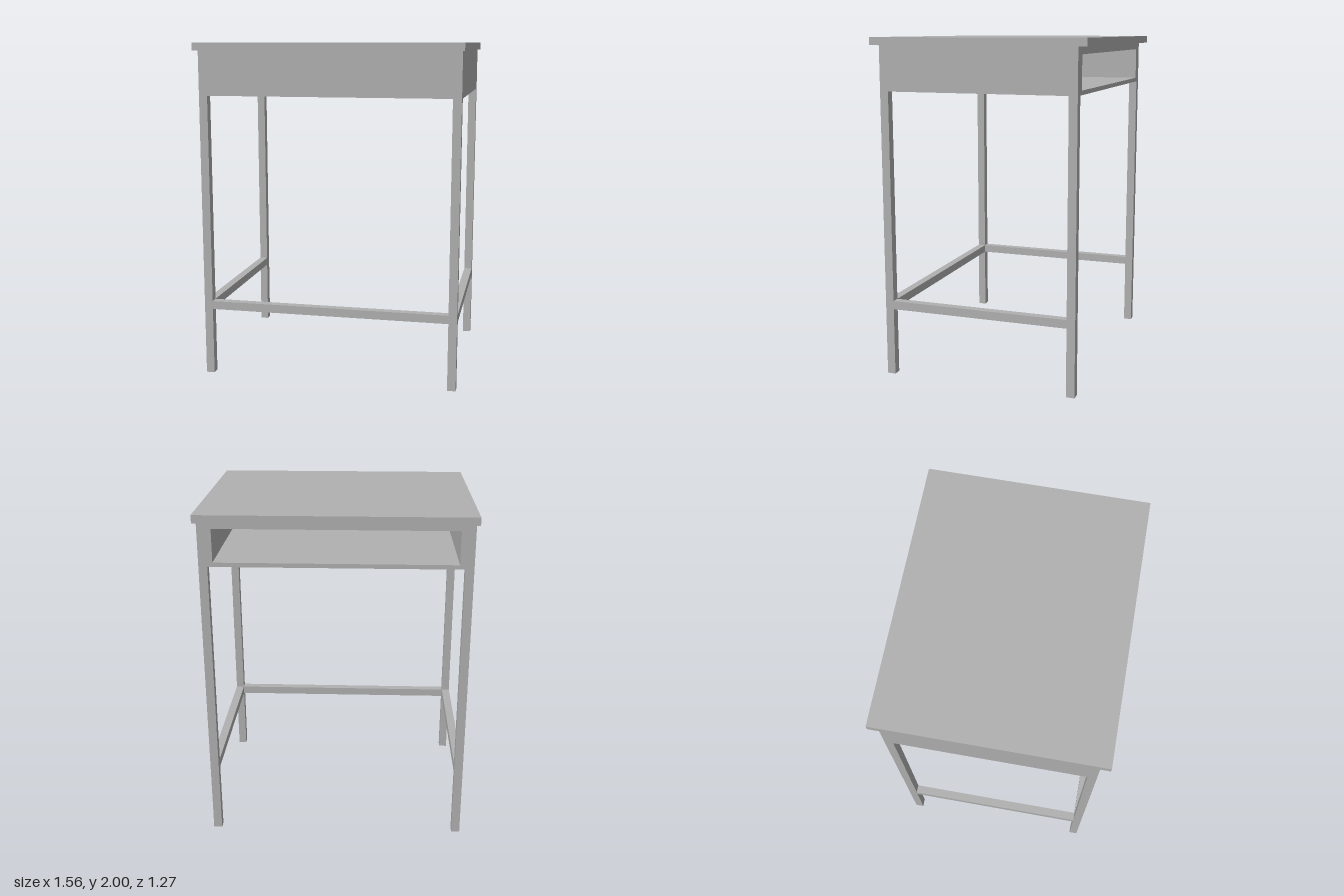
import * as THREE from 'three';

export function createModel() {
  const desk = new THREE.Group();
  desk.name = 'desk';
  const grey = new THREE.MeshStandardMaterial({ color: 0xb0b0b0 });
  grey.name = 'grey';

  const add = (name, geometry, x, y, z) => {
    const mesh = new THREE.Mesh(geometry, grey);
    mesh.name = name;
    mesh.position.set(x, y, z);
    desk.add(mesh);
  };
  const box = (name, w, h, d, x, y, z) => add(name, new THREE.BoxGeometry(w, h, d), x, y, z);

  const W = 0.765, D = 0.585;      // half width and half depth of the frame
  const bar = 0.05;                // square bar size
  const low = 1.695, high = 1.955; // bottom and top of the storage case

  // Overhanging top
  box('tabletop', 1.56, 2 - high, 1.275, 0, (2 + high) / 2, 0);

  // Storage case: a sleeve open at the back, closed by the front panel
  const rect = (Type, x, y0, y1) => new Type([
    new THREE.Vector2(-x, y0), new THREE.Vector2(x, y0),
    new THREE.Vector2(x, y1), new THREE.Vector2(-x, y1),
  ]);
  const outline = rect(THREE.Shape, W, low, high);
  outline.holes.push(rect(THREE.Path, 0.685, 1.72, 1.912));
  const panel = 0.04;
  add('storageCase', new THREE.ExtrudeGeometry(outline, { depth: 2 * D - panel, bevelEnabled: false }), 0, 0, -D);
  box('frontPanel', 2 * W, high - low, panel, 0, (low + high) / 2, D - panel / 2);

  // Legs and side stretchers
  const lx = W - bar / 2, lz = D - bar / 2, sy = 0.43;
  for (const side of [-1, 1]) {
    for (const end of [-1, 1]) {
      box(end > 0 ? 'frontLeg' : 'backLeg', bar, low, bar, side * lx, low / 2, end * lz);
    }
    box('sideStretcher', bar, bar, 2 * (D - bar), side * lx, sy, 0);
  }
  box('frontStretcher', 2 * (W - bar), bar, bar, 0, sy, lz);

  return desk;
}
